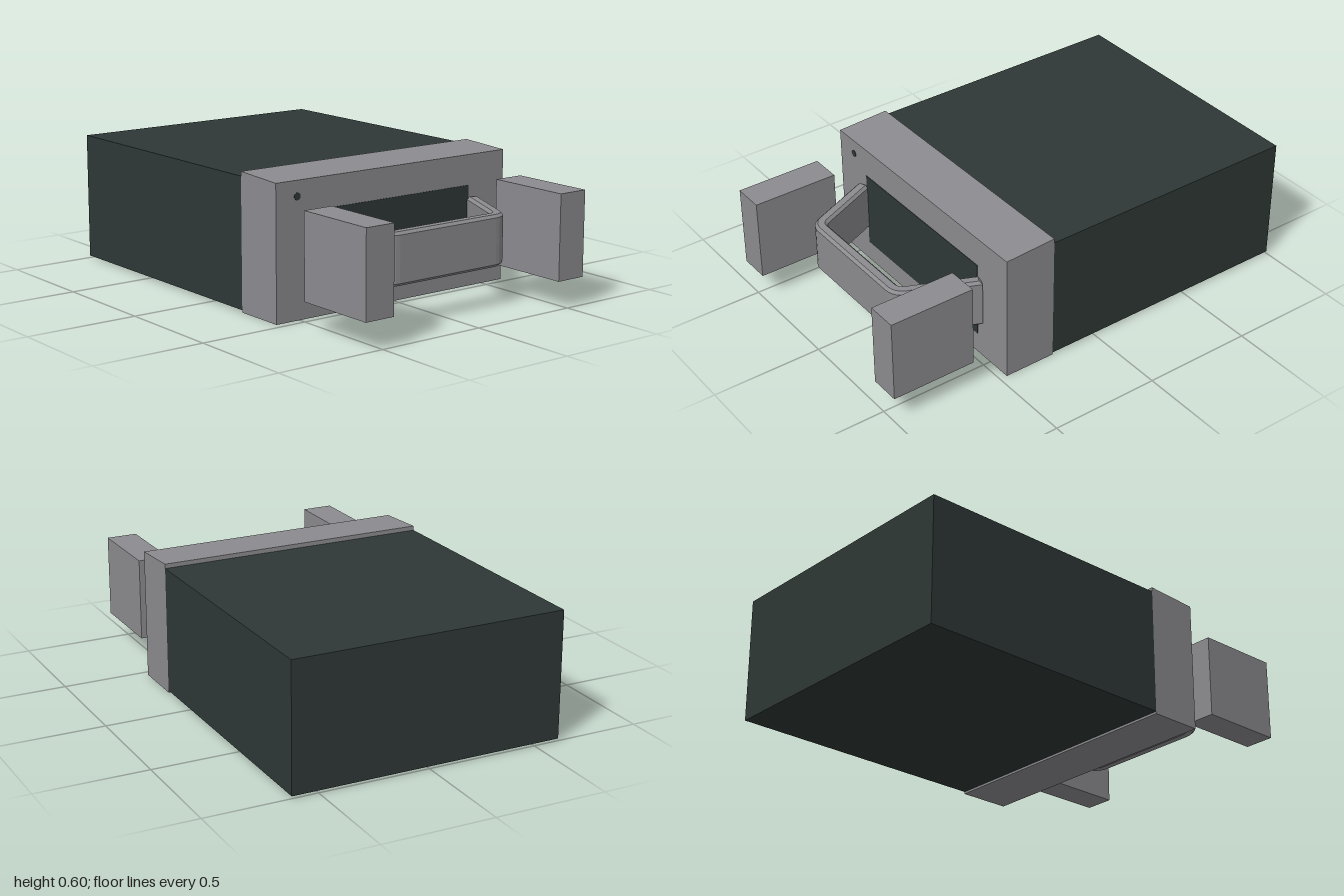
import * as THREE from 'three';

const casing = new THREE.MeshStandardMaterial({ color: 0x2e3836 });
casing.name = 'dark casing';
const metal = new THREE.MeshStandardMaterial({ color: 0x8c8c90 });
metal.name = 'grey metal';

export function createModel() {
  const model = new THREE.Group();
  model.name = 'drawerModule';

  const add = (name, geometry, material, x = 0, y = 0, z = 0) => {
    const mesh = new THREE.Mesh(geometry, material);
    mesh.name = name;
    mesh.position.set(x, y, z);
    model.add(mesh);
    return mesh;
  };

  // Long dark casing
  add('casing', new THREE.BoxGeometry(1.234, 0.567, 1.225), casing, 0, 0.2935, -0.3875);

  // Front collar: side profile (u = -z) with a top that slopes down to the front
  const profile = new THREE.Shape([
    [-0.465, 0], [-0.225, 0], [-0.225, 0.597], [-0.465, 0.585],
  ].map(([u, y]) => new THREE.Vector2(u, y)));
  const collar = new THREE.ExtrudeGeometry(profile, { depth: 1.234, bevelEnabled: false });
  collar.translate(0, 0, -0.617).rotateY(Math.PI / 2);
  add('frontCollar', collar, metal);

  // Thin dark details on the collar face
  add('frontPanel', new THREE.BoxGeometry(0.83, 0.355, 0.004), casing, 0, 0.2735, 0.465);
  const dot = new THREE.CylinderGeometry(0.016, 0.016, 0.004, 24).rotateX(Math.PI / 2);
  add('keyhole', dot, casing, -0.51, 0.518, 0.465);

  // Two projecting guide blocks
  for (const side of [-1, 1]) {
    add(side > 0 ? 'leftBlock' : 'rightBlock',
      new THREE.BoxGeometry(0.14, 0.373, 0.39), metal, side * 0.515, 0.3085, 0.805);
  }

  // Handle: a bent strap drawn in plan, (x, z), with rounded corners
  const legAngle = THREE.MathUtils.degToRad(156.2);
  const edge = (radius) => {
    const half = [];
    const nx = Math.cos(legAngle), nz = Math.sin(legAngle);
    half.push(new THREE.Vector2(-0.26 + radius * nx - 0.316 * nz, 0.73 + radius * nz + 0.316 * nx));
    for (let i = 0; i <= 5; i++) {
      const a = THREE.MathUtils.lerp(legAngle, Math.PI / 2, i / 5);
      half.push(new THREE.Vector2(-0.26 + radius * Math.cos(a), 0.73 + radius * Math.sin(a)));
    }
    const mirrored = half.map((p) => new THREE.Vector2(-p.x, p.y)).reverse();
    return [...half, ...mirrored];
  };
  const strap = new THREE.Shape([...edge(0.085), ...edge(0.03).reverse()]);
  const bevel = 0.012;
  const handle = new THREE.ExtrudeGeometry(strap, {
    depth: 0.224 - 2 * bevel, bevelThickness: bevel, bevelSize: bevel,
    bevelOffset: -bevel, bevelSegments: 1,
  });
  handle.rotateX(Math.PI / 2);
  add('handle', handle, metal, 0, 0.399 - bevel, 0);

  return model;
}
